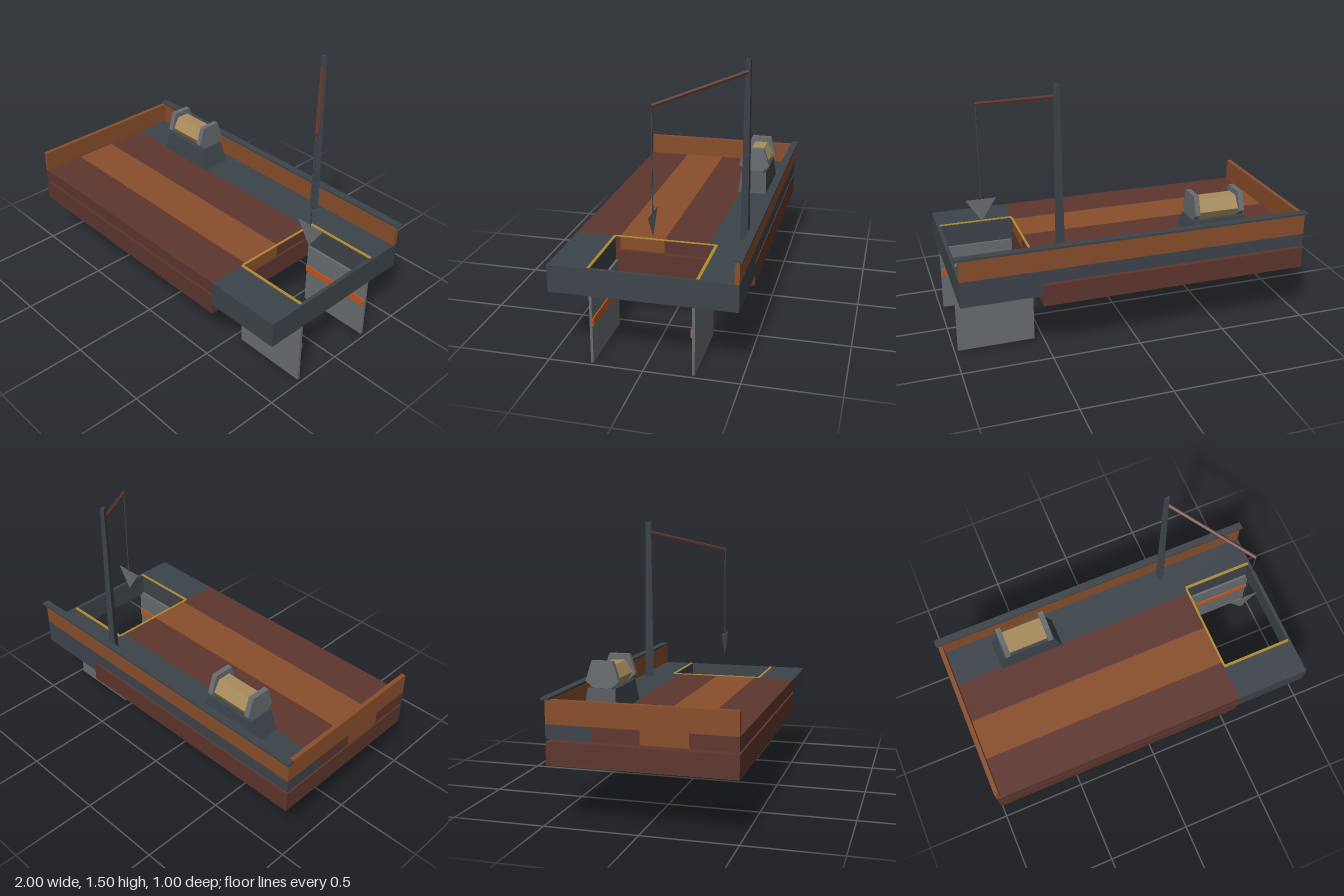
import * as THREE from 'three';

export function createModel() {
  const model = new THREE.Group();
  model.name = 'workBarge';
  const mat = (name, color, side = THREE.FrontSide) => {
    const m = new THREE.MeshStandardMaterial({ color, side, flatShading: true });
    m.name = name;
    return m;
  };
  const maroon = mat('maroonWood', 0x5e362e);
  const brown = mat('rustBrownWood', 0x894e2b);
  const dark = mat('darkSteel', 0x3d444a);
  const grey = mat('greySteel', 0x696d71, THREE.DoubleSide);
  const tan = mat('ropeTan', 0xa88c5c);
  const orange = mat('orangePaint', 0xc4561c);
  const yellow = mat('yellowPaint', 0xb08a30);

  const add = (name, geometry, material, x = 0, y = 0, z = 0) => {
    const mesh = new THREE.Mesh(geometry, material);
    mesh.name = name;
    mesh.position.set(x, y, z);
    model.add(mesh);
    return mesh;
  };
  // Box given by its limits on each axis
  const box = (name, material, x0, x1, y0, y1, z0, z1) =>
    add(name, new THREE.BoxGeometry(x1 - x0, y1 - y0, z1 - z0), material,
      (x0 + x1) / 2, (y0 + y1) / 2, (z0 + z1) / 2);
  // Rod between two points
  const rod = (name, material, a, b, r, sides) => {
    const mesh = add(name, new THREE.CylinderGeometry(r, r, a.distanceTo(b), sides), material);
    mesh.position.copy(a).lerp(b, 0.5);
    mesh.quaternion.setFromUnitVectors(new THREE.Vector3(0, 1, 0), b.clone().sub(a).normalize());
  };

  const zBack = -0.483, zFront = 0.497, xLeft = -0.99, xMid = 0.54, xEnd = 0.982, deck = 0.521;

  // Hull and four deck planks with a gap between
  box('hull', maroon, xLeft, xMid, 0.312, 0.433, zBack, zFront);
  const plank = (zFront - zBack) / 4;
  [dark, maroon, brown, maroon].forEach((m, i) =>
    box('deckPlank', m, xLeft, xMid, 0.447, deck, zBack + i * plank, zBack + (i + 1) * plank));

  // Walls and top rail
  box('backWall', brown, xLeft, xEnd, deck, 0.644, zBack, -0.458);
  box('sideWall', brown, xLeft, -0.965, deck, 0.644, -0.458, zFront);
  box('rail', dark, -1, 1, 0.643, 0.655, -0.5, -0.457);

  // Frame around the open well
  box('backFrame', dark, xMid, xEnd, 0.375, deck, zBack, -0.266);
  box('frontFrame', dark, xMid, xEnd, 0.375, deck, 0.28, zFront);
  box('endFrame', dark, 0.962, xEnd, 0.375, deck, -0.266, 0.28);

  // Yellow edging painted around the well
  box('wellEdging', yellow, xMid, 0.968, deck, 0.525, -0.285, -0.268);
  box('wellEdging', yellow, xMid, 0.968, deck, 0.525, 0.272, 0.288);
  box('wellEdging', yellow, 0.536, 0.549, deck, 0.525, -0.268, 0.272);

  // Hanging side plates, each with an orange stripe inside
  for (const s of [-1, 1]) {
    const z = 0.0075 + s * 0.265;
    box('gatePlate', grey, 0.548, 0.98, 0, 0.385, z - 0.007, z + 0.007);
    add('gateStripe', new THREE.BoxGeometry(0.43, 0.042, 0.007), orange, 0.764, 0.23, z - s * 0.0105);
  }

  // Winch base: box narrowed towards the top
  const baseGeo = new THREE.BoxGeometry(0.39, 0.124, 0.174);
  const p = baseGeo.attributes.position;
  for (let i = 0; i < p.count; i++) {
    if (p.getY(i) > 0) p.setXYZ(i, p.getX(i) * 0.8, p.getY(i), p.getZ(i) * 0.88);
  }
  baseGeo.computeVertexNormals();
  add('winchBase', baseGeo, dark, -0.495, deck + 0.062, -0.315);

  // Winch cheeks and six-sided drum
  const cheek = new THREE.Shape([[-0.05, 0.643], [0.05, 0.643], [0.092, 0.68], [0.058, 0.787],
    [-0.058, 0.787], [-0.092, 0.68]].map(([x, y]) => new THREE.Vector2(x, y)));
  const cheekGeo = new THREE.ExtrudeGeometry(cheek, { depth: 0.03, bevelEnabled: false });
  for (const x of [-0.644, -0.38]) {
    add('winchCheek', cheekGeo, grey, x, 0, -0.315).rotation.y = Math.PI / 2;
  }
  const drumGeo = new THREE.CylinderGeometry(0.075, 0.075, 0.24, 6);
  drumGeo.rotateZ(Math.PI / 2);
  add('winchDrum', drumGeo, tan, -0.497, 0.69, -0.315);

  // Three-sided mast, boom, hoist line and flat bucket
  add('mast', new THREE.CylinderGeometry(0.019, 0.031, 0.975, 3), dark, 0.43, 1.0085, -0.411);
  const tip = new THREE.Vector3(0.765, 1.312, 0.004);
  rod('boom', maroon, new THREE.Vector3(0.43, 1.432, -0.411), tip, 0.011, 5);
  rod('hoistLine', dark, tip, new THREE.Vector3(0.765, 0.76, 0.004), 0.0035, 5);
  const bucket = new THREE.Shape([new THREE.Vector2(-0.085, 0.768),
    new THREE.Vector2(0, 0.64), new THREE.Vector2(0.085, 0.768)]);
  add('bucket', new THREE.ExtrudeGeometry(bucket, { depth: 0.004, bevelEnabled: false }), grey, 0.765, 0, 0.002);

  return model;
}
